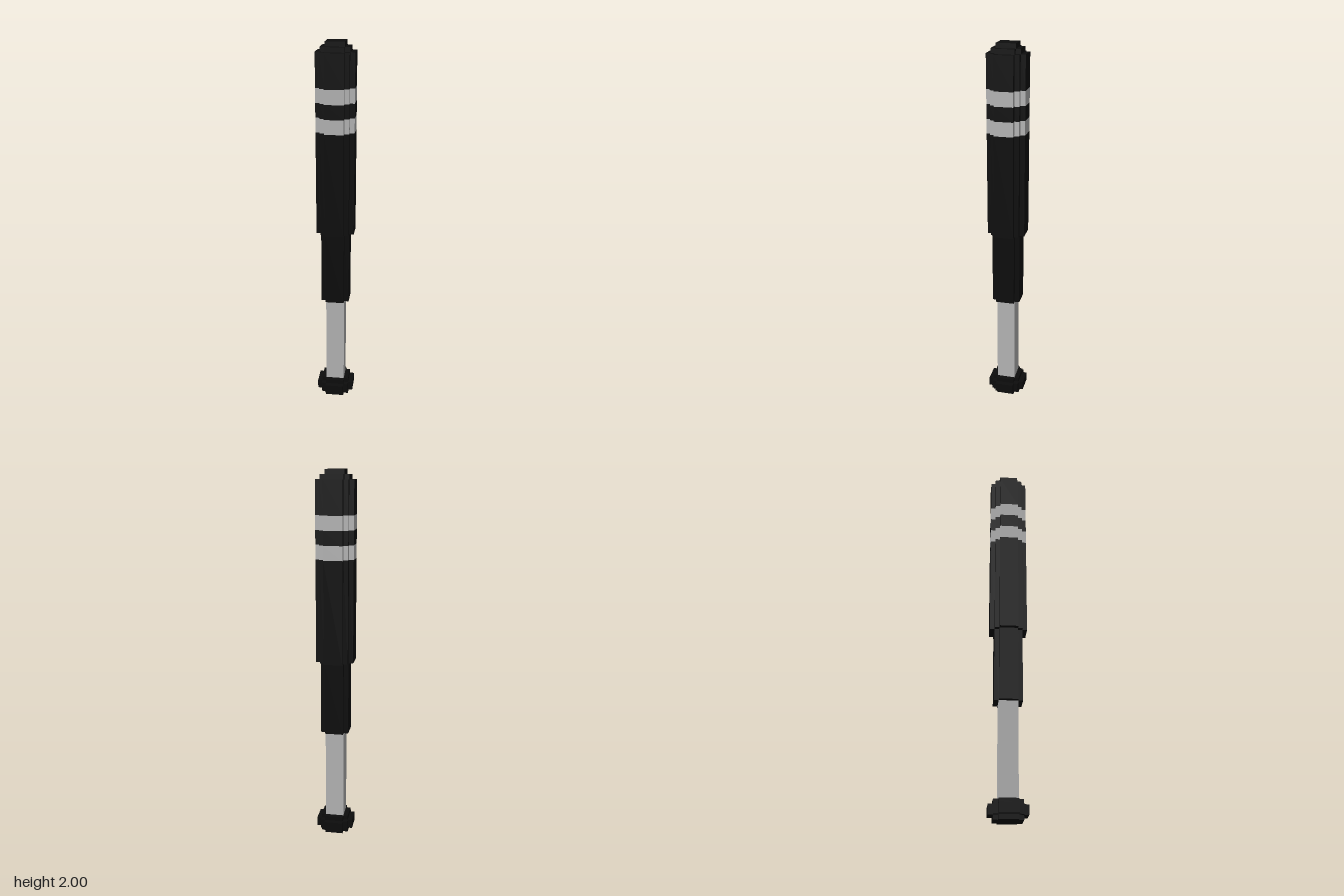
import * as THREE from 'three';

// Stepped outlines: one quadrant of corners, from the +x side round to the +y side
const WIDE = [[0.1, 0.05], [0.075, 0.05], [0.075, 0.075], [0.05, 0.075], [0.05, 0.1]];
const MEDIUM = [[0.075, 0.05], [0.05, 0.05], [0.05, 0.075]];
const SQUARE = [[0.05, 0.05]];

// Turn the quadrant four times about the centre to close the outline
function outline(quadrant) {
  const points = [];
  for (let i = 0; i < 4; i++) {
    for (const [x, y] of quadrant) {
      const p = [[x, y], [-y, x], [-x, -y], [y, -x]][i];
      points.push(new THREE.Vector2(p[0], p[1]));
    }
  }
  return new THREE.Shape(points);
}

export function createModel() {
  const black = new THREE.MeshStandardMaterial({ color: 0x0d0d0d });
  black.name = 'black';
  const grey = new THREE.MeshStandardMaterial({ color: 0xbbbbbb });
  grey.name = 'light grey';

  const bat = new THREE.Group();
  bat.name = 'bat';

  // Upright prism from y0 to y1
  function section(name, quadrant, y0, y1, material) {
    const geometry = new THREE.ExtrudeGeometry(outline(quadrant), { depth: y1 - y0, bevelEnabled: false });
    geometry.rotateX(-Math.PI / 2);
    const mesh = new THREE.Mesh(geometry, material);
    mesh.name = name;
    mesh.position.y = y0;
    bat.add(mesh);
  }

  // Knob
  section('knobBottom', MEDIUM, 0, 0.025, black);
  section('knobMiddle', WIDE, 0.025, 0.075, black);
  section('knobTop', MEDIUM, 0.075, 0.1, black);

  // Handle and shaft
  section('handle', SQUARE, 0.1, 0.6, grey);
  section('shaft', MEDIUM, 0.6, 1, black);

  // Barrel with two bands
  section('lowerBarrel', WIDE, 1, 1.55, black);
  section('lowerBand', WIDE, 1.55, 1.625, grey);
  section('middleBarrel', WIDE, 1.625, 1.7, black);
  section('upperBand', WIDE, 1.7, 1.775, grey);
  section('upperBarrel', WIDE, 1.775, 1.95, black);

  // Stepped tip
  section('tipLower', MEDIUM, 1.95, 1.975, black);
  section('tipUpper', SQUARE, 1.975, 2, black);

  return bat;
}
